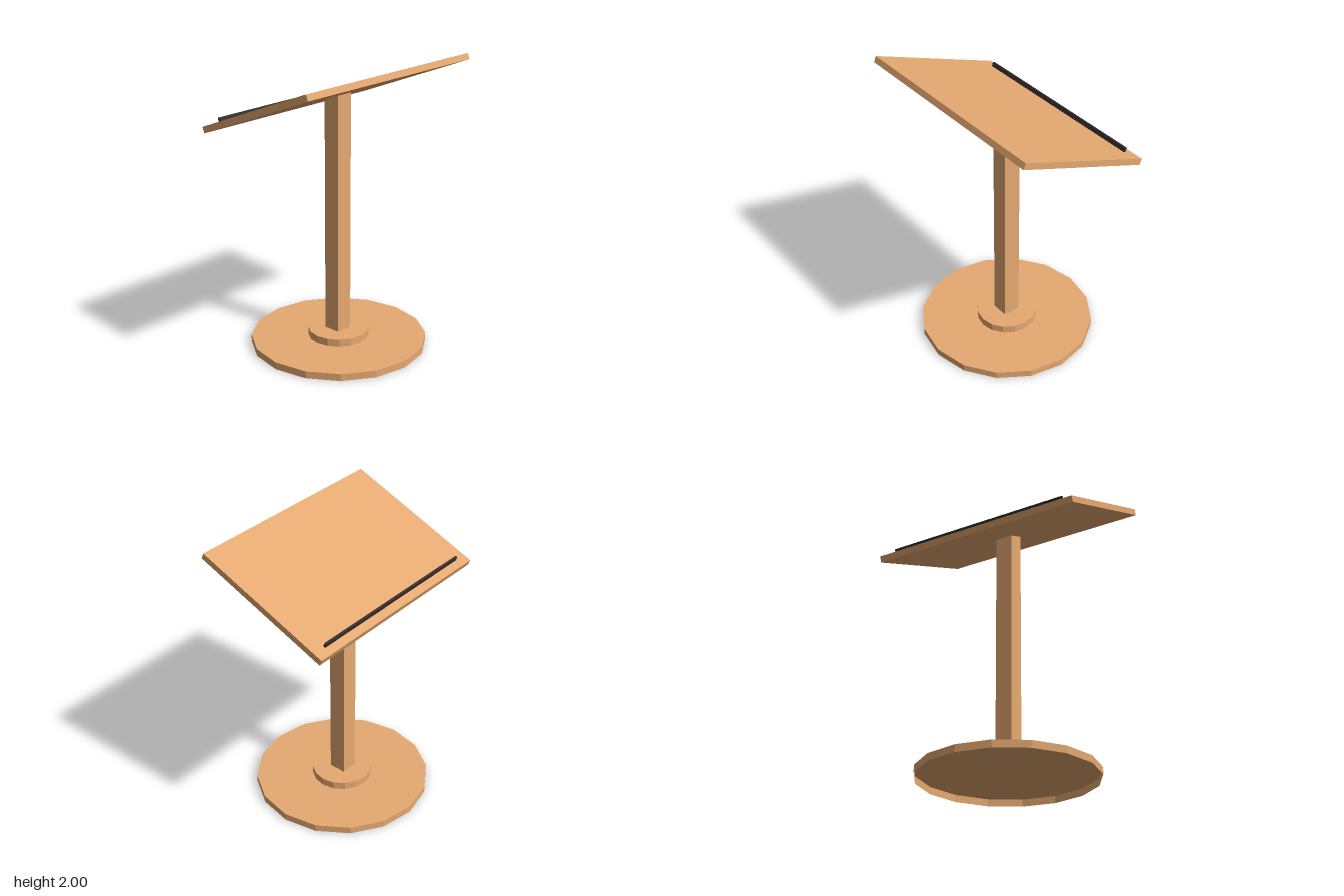
import * as THREE from 'three';

const wood = new THREE.MeshStandardMaterial({ name: 'wood', color: 0xe6a971, flatShading: true, side: THREE.DoubleSide });
const darkTrim = new THREE.MeshStandardMaterial({ name: 'dark trim', color: 0x362e2b, flatShading: true });

const TILT = THREE.MathUtils.degToRad(22);
const BOARD_Y = 1.7905;
const BOARD_Z = 0.005;
const THICK = 0.043;
const POST_Z = -0.003;

function add(parent, name, geometry, material, x, y, z) {
  const mesh = new THREE.Mesh(geometry, material);
  mesh.name = name;
  mesh.position.set(x, y, z);
  parent.add(mesh);
  return mesh;
}

// Shallow 16-sided cap: a rim and a top, hollow and open underneath
function capGeometry(radius, height) {
  const profile = [[radius, 0], [radius, height], [0, height]];
  return new THREE.LatheGeometry(profile.map(([x, y]) => new THREE.Vector2(x, y)), 16);
}

// Post whose top is cut on a slope to meet the underside of the board
function postGeometry(width, bottom) {
  const geometry = new THREE.BoxGeometry(width, 1, width);
  const p = geometry.attributes.position;
  for (let i = 0; i < p.count; i++) {
    const z = p.getZ(i) + POST_Z - BOARD_Z;
    const top = BOARD_Y - THICK / 2 / Math.cos(TILT) + z * Math.tan(TILT);
    p.setY(i, p.getY(i) > 0 ? top : bottom);
  }
  geometry.computeVertexNormals();
  return geometry;
}

export function createModel() {
  const model = new THREE.Group();
  model.name = 'lectern';

  // Round hollow foot and the hub standing on it
  add(model, 'base', capGeometry(0.61, 0.05), wood, 0.005, 0, 0);
  add(model, 'hub', capGeometry(0.21, 0.054), wood, 0.004, 0.05, 0);

  add(model, 'post', postGeometry(0.122, 0.104), wood, 0, 0, POST_Z);

  // Sloping reading board with its page stop
  const top = new THREE.Group();
  top.name = 'readingTop';
  top.position.set(0, BOARD_Y, BOARD_Z);
  top.rotation.x = -TILT;
  add(top, 'board', new THREE.BoxGeometry(1.525, THICK, 1.012), wood, 0, 0, 0);
  add(top, 'pageStop', new THREE.BoxGeometry(1.335, 0.03, 0.016), darkTrim, 0, THICK / 2 + 0.015, -0.441);
  model.add(top);

  return model;
}
